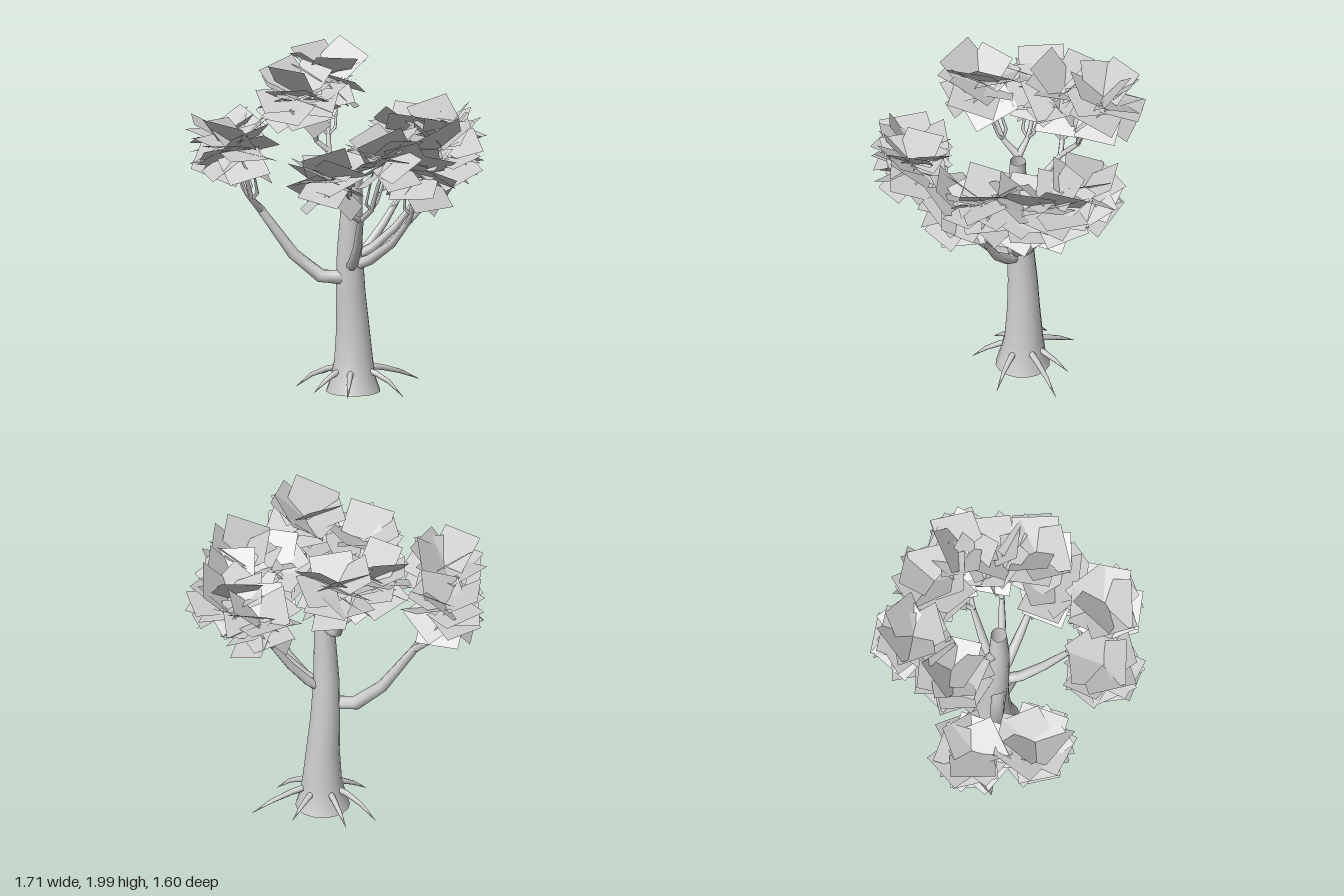
import * as THREE from 'three';
import { mergeGeometries } from 'three/addons/utils/BufferGeometryUtils.js';

const V = (x, y, z) => new THREE.Vector3(x, y, z);

function seeded(seed) {
  let s = seed;
  return () => {
    s = (s * 16807) % 2147483647;
    return s / 2147483647;
  };
}

// Tapered tube through points, one radius per point
function taper(points, radii, sides = 8) {
  const n = points.length;
  const along = points[n - 1].clone().sub(points[0]).normalize();
  const ref = Math.abs(along.z) < 0.6 ? V(0, 0, 1) : V(1, 0, 0);
  const pos = [], index = [];
  points.forEach((p, i) => {
    const t = points[Math.min(i + 1, n - 1)].clone().sub(points[Math.max(i - 1, 0)]).normalize();
    const u = ref.clone().cross(t).normalize();
    const v = t.clone().cross(u);
    for (let j = 0; j < sides; j++) {
      const a = (j / sides) * Math.PI * 2;
      const q = p.clone().addScaledVector(u, Math.cos(a) * radii[i]).addScaledVector(v, Math.sin(a) * radii[i]);
      pos.push(q.x, q.y, q.z);
      if (i < n - 1) {
        const k = (j + 1) % sides, b = i * sides, c = b + sides;
        index.push(b + j, b + k, c + j, b + k, c + k, c + j);
      }
    }
  });
  const g = new THREE.BufferGeometry();
  g.setAttribute('position', new THREE.Float32BufferAttribute(pos, 3));
  g.setIndex(index);
  g.computeVertexNormals();
  return g;
}

// Clump of large square leaf sheets bursting out from one centre, spread evenly in turn and slope
function leafClump(center, seed, count = 18) {
  const rnd = seeded(seed * 7919 + 13);
  const leaves = [];
  for (let i = 0; i < count; i++) {
    const slope = 1.7 * (((i + 0.5) * 0.7549 + seed * 0.37) % 1) - 0.85;
    const len = 0.2 + rnd() * 0.035, wid = 0.23 + rnd() * 0.06;
    const g = new THREE.PlaneGeometry(wid, len);
    g.rotateX(-Math.PI / 2);
    g.translate(0, 0, len / 2);
    g.rotateZ((rnd() - 0.5) * 1.2);
    g.rotateX(-slope);
    g.rotateY(i * 0.5698 * Math.PI * 2 + seed * 1.9);
    g.translate(center.x, center.y + slope * 0.035, center.z);
    leaves.push(g);
  }
  return mergeGeometries(leaves);
}

export function createModel() {
  const group = new THREE.Group();
  const gray = new THREE.MeshStandardMaterial({ color: 0xcccccc, side: THREE.DoubleSide });
  gray.name = 'light gray';
  const add = (name, geometry) => {
    const m = new THREE.Mesh(geometry, gray);
    m.name = name;
    group.add(m);
  };

  // Trunk, flared at the foot and open at both ends
  add('trunk', taper(
    [V(0.05, 0.015, -0.062), V(0.05, 0.09, -0.062), V(0.048, 0.2, -0.068), V(0.045, 0.4, -0.064), V(0.038, 0.6, -0.053),
      V(0.042, 0.85, -0.038), V(0.063, 1.2, -0.032), V(0.075, 1.46, -0.045)],
    [0.16, 0.135, 0.115, 0.098, 0.088, 0.077, 0.061, 0.046], 16));

  // Thorn-like roots arching down to the ground
  const rootTips = [
    [0.37, 0.01, -0.11], [0.19, 0.03, 0.2], [-0.04, 0.04, 0.21], [-0.3, 0.01, 0.02],
    [-0.27, 0.05, -0.2], [0.01, 0.05, -0.36], [0.25, 0.04, -0.45],
  ];
  for (const [x, y, z] of rootTips) {
    const at = (t, h) => V(0.047 + (x - 0.047) * t, h, -0.058 + (z + 0.058) * t);
    add('root', taper([at(0.25, 0.15), at(0.45, 0.135), at(0.72, 0.09 + y * 0.2), at(1, y)],
      [0.02, 0.018, 0.013, 0.001], 7));
  }

  // Limbs with the leaf clumps each one carries
  const limbs = [
    { path: [V(0.02, 0.7, 0.0), V(-0.09, 0.71, 0.07), V(-0.22, 0.84, 0.16), V(-0.37, 1.11, 0.28)], r: 0.044,
      clumps: [V(-0.61, 1.5, 0.28), V(-0.35, 1.52, 0.55)] },
    { path: [V(0.08, 0.78, 0.0), V(0.14, 0.81, 0.07), V(0.24, 0.94, 0.17), V(0.33, 1.13, 0.27)], r: 0.033,
      clumps: [V(0.31, 1.42, 0.55), V(0.58, 1.54, 0.35)] },
    { path: [V(0.09, 0.78, -0.04), V(0.18, 0.82, -0.05), V(0.32, 0.93, -0.07), V(0.42, 1.06, -0.08)], r: 0.033,
      clumps: [V(0.55, 1.39, 0.01), V(0.6, 1.5, -0.17)] },
    { path: [V(0.08, 0.83, -0.06), V(0.16, 0.88, -0.1), V(0.27, 1.0, -0.17), V(0.36, 1.15, -0.24)], r: 0.03,
      clumps: [V(0.46, 1.47, -0.38)] },
    { path: [V(0.06, 0.82, -0.07), V(0.1, 0.87, -0.13), V(0.15, 1.0, -0.23), V(0.2, 1.16, -0.33)], r: 0.03,
      clumps: [V(0.11, 1.46, -0.54), V(0.37, 1.48, -0.53)] },
    { path: [V(0.04, 1.23, -0.04), V(-0.03, 1.23, -0.06), V(-0.11, 1.28, -0.1), V(-0.19, 1.4, -0.16)], r: 0.03,
      clumps: [V(-0.34, 1.79, -0.36), V(-0.35, 1.71, -0.07)] },
  ];
  let seed = 1;
  for (const { path, r, clumps } of limbs) {
    add('limb', taper(path, [r, r * 0.95, r * 0.8, r * 0.55]));
    const fork = path[3];
    for (const c of clumps) {
      // Bough leaning out from the fork, then two twigs reaching up into the leaves
      const knee = fork.clone().lerp(c, 0.4);
      knee.y = fork.y + (c.y - fork.y) * 0.2;
      const tip = fork.clone().lerp(c, 0.65);
      tip.y = fork.y + (c.y - fork.y) * 0.6;
      add('bough', taper([fork, knee, tip, c], [r * 0.55, 0.015, 0.012, 0.006], 7));
      const side = V(c.z - fork.z, 0, fork.x - c.x).normalize();
      for (const s of [-1, 1]) {
        const bend = knee.clone().addScaledVector(side, s * 0.04);
        bend.y += 0.04;
        const end = c.clone().lerp(fork, 0.25).addScaledVector(side, s * 0.06);
        end.y = c.y - 0.08;
        add('twig', taper([knee, bend, end], [0.012, 0.01, 0.004], 6));
      }
      add('leafClump', leafClump(c, seed++));
    }
  }
  return group;
}
